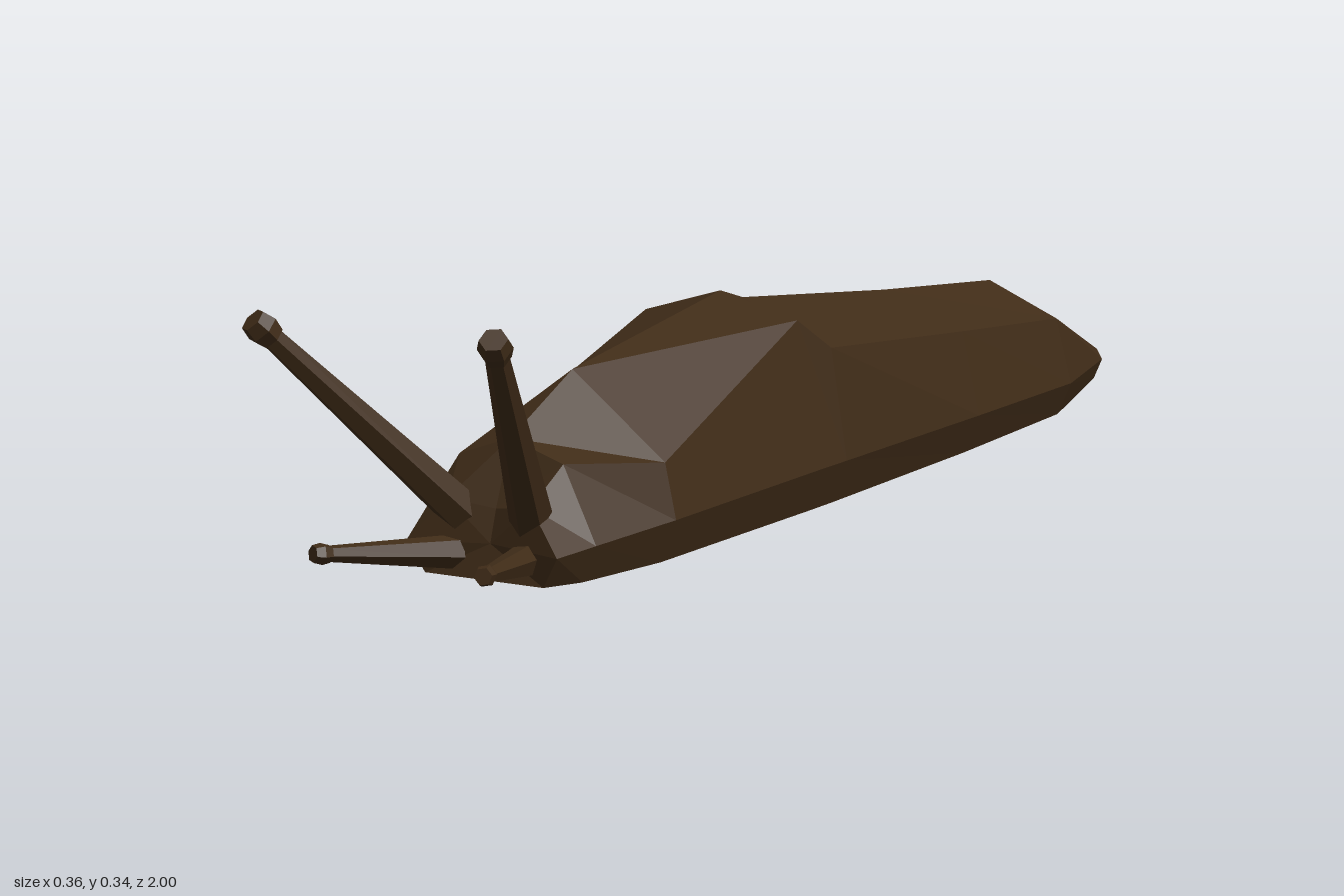
import * as THREE from 'three';

const skin = new THREE.MeshStandardMaterial({ color: 0x402c18, flatShading: true });

// Half cross-sections from tail to head: [z, crestY, shoulderX, shoulderY, sideX, sideY, footX]
const SECTIONS = [
  [-1.0, 0.065, 0.035, 0.052, 0.045, 0.035, 0.03],
  [-0.63, 0.21, 0.118, 0.155, 0.145, 0.052, 0.122],
  [-0.25, 0.236, 0.132, 0.182, 0.16, 0.058, 0.135],
  [0.17, 0.272, 0.137, 0.212, 0.161, 0.06, 0.137],
  [0.23, 0.288, 0.118, 0.255, 0.16, 0.06, 0.136],
  [0.59, 0.23, 0.133, 0.125, 0.148, 0.055, 0.125],
  [0.725, 0.165, 0.075, 0.14, 0.12, 0.046, 0.1],
];

function ring([z, crestY, shX, shY, sideX, sideY, footX]) {
  return [
    [footX, 0, z], [sideX, sideY, z], [shX, shY, z], [0, crestY, z],
    [-shX, shY, z], [-sideX, sideY, z], [-footX, 0, z],
  ];
}

function bodyGeometry() {
  const rings = SECTIONS.map(ring);
  // Face rim, notched back at the middle of the brow
  rings.push([
    [0.085, 0.004, 0.785], [0.108, 0.042, 0.79], [0.06, 0.095, 0.772], [0, 0.085, 0.757],
    [-0.06, 0.095, 0.772], [-0.108, 0.042, 0.79], [-0.085, 0.004, 0.785],
  ]);
  const n = 7, last = rings.length - 1, pos = [];
  const tri = (...corners) => corners.forEach((c) => pos.push(...c));
  for (let s = 0; s < last; s++) {
    for (let i = 0; i < n; i++) {
      const j = (i + 1) % n;
      tri(rings[s][i], rings[s][j], rings[s + 1][j]);
      tri(rings[s][i], rings[s + 1][j], rings[s + 1][i]);
    }
  }
  // Tail and face caps
  for (let i = 0; i < n; i++) {
    const j = (i + 1) % n;
    tri([0, 0.03, -1], rings[0][j], rings[0][i]);
    tri([0, 0.045, 0.77], rings[last][i], rings[last][j]);
  }
  const g = new THREE.BufferGeometry();
  g.setAttribute('position', new THREE.Float32BufferAttribute(pos, 3));
  g.computeVertexNormals();
  return g;
}

// Tapered stalk with a small bulb at its end
function tentacle(name, base, tip, rBase, rTip, rBulb, bulbLength) {
  const group = new THREE.Group();
  group.name = name;
  const a = new THREE.Vector3(...base), b = new THREE.Vector3(...tip);
  const length = a.distanceTo(b);
  const stalk = new THREE.Mesh(new THREE.CylinderGeometry(rTip, rBase, length, 6), skin);
  stalk.name = 'stalk';
  stalk.position.y = length / 2;
  const h = bulbLength / 2;
  const profile = [[0, -h], [rBulb * 0.8, -h], [rBulb, 0], [rBulb * 0.8, h], [0, h]]
    .map(([x, y]) => new THREE.Vector2(x, y));
  const bulb = new THREE.Mesh(new THREE.LatheGeometry(profile, 6), skin);
  bulb.name = 'bulb';
  bulb.position.y = length;
  group.add(stalk, bulb);
  group.position.copy(a);
  group.quaternion.setFromUnitVectors(new THREE.Vector3(0, 1, 0), b.sub(a).normalize());
  return group;
}

export function createModel() {
  const model = new THREE.Group();
  model.name = 'slug';
  const body = new THREE.Mesh(bodyGeometry(), skin);
  body.name = 'body';
  model.add(body);
  for (const [side, s] of [['left', 1], ['right', -1]]) {
    model.add(
      tentacle(side + 'EyeStalk', [0.047 * s, 0.07, 0.75], [0.16 * s, 0.317, 0.98], 0.027, 0.013, 0.02, 0.032),
      tentacle(side + 'Feeler', [0.05 * s, 0.03, 0.77], [0.115 * s, 0.054, 0.942], 0.021, 0.009, 0.013, 0.022),
    );
  }
  return model;
}
